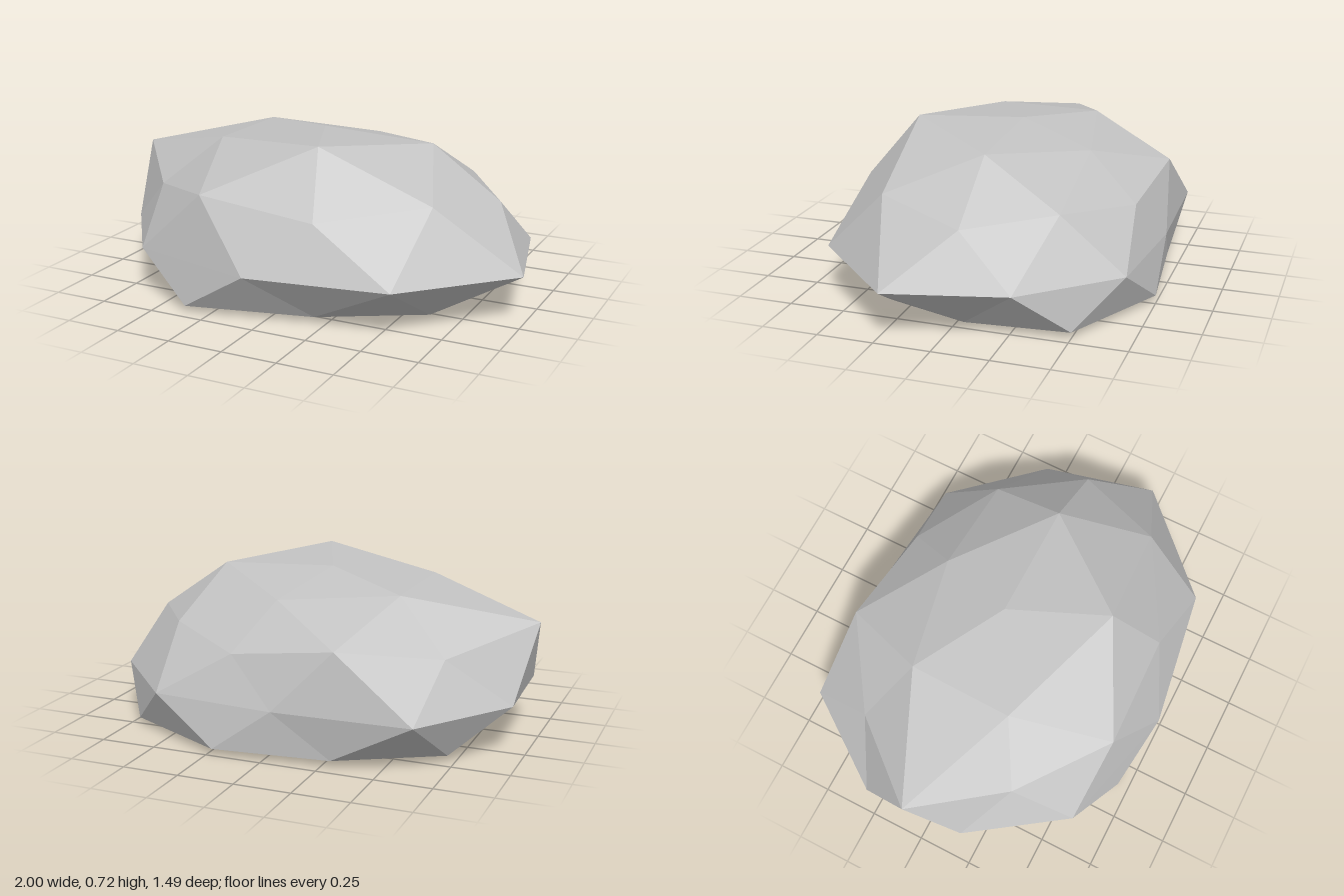
import * as THREE from 'three';

// Each ring runs counter-clockwise seen from above, starting at the front.
const apex = [-0.05, 0.70, -0.05];
const crown = [[0.13, 0.72, 0.385], [0.48, 0.675, -0.05], [0.07, 0.61, -0.40], [-0.45, 0.65, -0.29], [-0.46, 0.655, 0.18]];
const shoulder = [
  [0.21, 0.45, 0.60], [0.64, 0.51, 0.35], [0.80, 0.45, -0.05], [0.55, 0.47, -0.40], [0.18, 0.42, -0.635],
  [-0.30, 0.49, -0.68], [-0.69, 0.43, -0.42], [-1.00, 0.53, -0.05], [-0.70, 0.44, 0.32], [-0.32, 0.512, 0.62],
];
const atHeight = (y, points) => points.map(([x, z]) => [x, y, z]);
const girth = atHeight(0.22, [
  [-0.05, 0.745], [0.58, 0.645], [1.00, 0.22], [0.87, -0.295], [0.52, -0.68],
  [-0.04, -0.73], [-0.65, -0.71], [-0.95, -0.29], [-0.93, 0.18], [-0.64, 0.595],
]);
const foot = atHeight(0.028, [
  [0.20, 0.57], [0.63, 0.33], [0.75, -0.05], [0.71, -0.50], [0.225, -0.745],
  [-0.29, -0.69], [-0.72, -0.45], [-0.74, -0.05], [-0.70, 0.33], [-0.36, 0.70],
]);
const sole = atHeight(0.006, [[0.40, 0.20], [0.36, -0.34], [-0.17, -0.37], [-0.42, -0.05], [-0.20, 0.37]]);
const base = [0, 0, -0.05];

function rockGeometry() {
  const positions = [];
  const face = (...corners) => corners.forEach((c) => positions.push(...c));
  const at = (ring, i) => ring[i % ring.length];

  // Top and bottom caps: five-sided fans widening to ten points
  for (let i = 0; i < 5; i++) {
    const t = crown[i], tNext = at(crown, i + 1);
    const outer = shoulder[2 * i], mid = shoulder[2 * i + 1], outerNext = at(shoulder, 2 * i + 2);
    face(apex, t, tNext);
    face(t, outer, mid);
    face(t, mid, tNext);
    face(tNext, mid, outerNext);

    const b = sole[i], bNext = at(sole, i + 1);
    const f = foot[2 * i + 1], fMid = at(foot, 2 * i + 2), fNext = at(foot, 2 * i + 3);
    face(f, b, fMid);
    face(fMid, b, bNext);
    face(fMid, bNext, fNext);
    face(b, base, bNext);
  }

  // Side bands of alternating triangles
  for (let k = 0; k < 10; k++) {
    const g = girth[k], gNext = at(girth, k + 1);
    face(shoulder[k], g, gNext);
    face(shoulder[k], gNext, at(shoulder, k + 1));
    face(g, foot[k], gNext);
    face(gNext, foot[k], at(foot, k + 1));
  }

  const geometry = new THREE.BufferGeometry();
  geometry.setAttribute('position', new THREE.Float32BufferAttribute(positions, 3));
  geometry.computeVertexNormals(); // unshared corners give flat facets
  return geometry;
}

export function createModel() {
  const stone = new THREE.MeshStandardMaterial({ color: 0xc3c3c3, flatShading: true });
  stone.name = 'stone grey';
  const rock = new THREE.Mesh(rockGeometry(), stone);
  rock.name = 'rock';
  const model = new THREE.Group();
  model.name = 'boulder';
  model.add(rock);
  return model;
}
